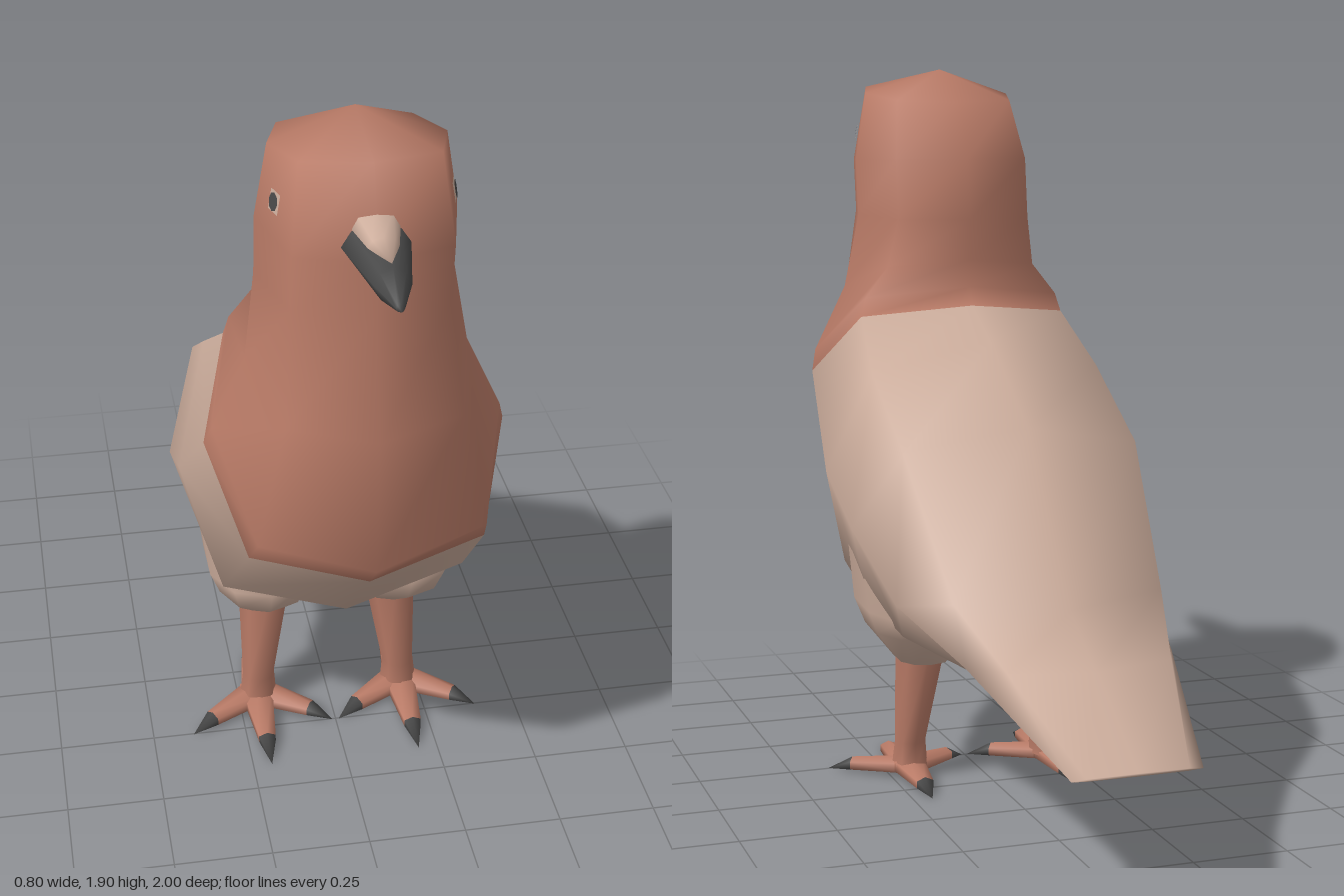
import * as THREE from 'three';

const mat = (name, color) => {
  const m = new THREE.MeshStandardMaterial({ color });
  m.name = name;
  return m;
};

// Oval ring across the chord A-B in the side plane: [az, ay, bz, by, halfWidth, bow, xOffset]
function ringPoints([az, ay, bz, by, w, bow = 0, xo = 0], n, power) {
  const cz = (az + bz) / 2, cy = (ay + by) / 2;
  const len = Math.hypot(bz - az, by - ay) || 1;
  const nz = (by - ay) / len, ny = (az - bz) / len;
  const soft = v => Math.sign(v) * Math.pow(Math.abs(v), 2 / power);
  const pts = [];
  for (let j = 0; j < n; j++) {
    const a = (j / n) * Math.PI * 2;
    const c = soft(Math.cos(a)), s = soft(Math.sin(a));
    const b = bow * Math.sin(a) ** 2;
    pts.push(xo + w * s, cy + (ay - cy) * c + b * ny, cz + (az - cz) * c + b * nz);
  }
  return pts;
}

// Smooth skin over rings; bands before "split" take the first material, later ones the second
function loft(rings, { n = 8, power = 2, split = rings.length, start, end } = {}) {
  const pos = rings.flatMap(r => ringPoints(r, n, power));
  const idx = [];
  const count = rings.length;
  if (start) {
    const p = pos.length / 3;
    pos.push(...start);
    for (let j = 0; j < n; j++) idx.push(p, j, (j + 1) % n);
  }
  let cut = -1;
  for (let i = 0; i < count - 1; i++) {
    if (i === split) cut = idx.length;
    for (let j = 0; j < n; j++) {
      const k = (j + 1) % n, u = i * n, l = u + n;
      idx.push(l + j, l + k, u + k, l + j, u + k, u + j);
    }
  }
  if (split === count - 1) cut = idx.length;
  if (end) {
    const p = pos.length / 3, l = (count - 1) * n;
    pos.push(...end);
    for (let j = 0; j < n; j++) idx.push(p, l + (j + 1) % n, l + j);
  }
  const g = new THREE.BufferGeometry();
  g.setAttribute('position', new THREE.Float32BufferAttribute(pos, 3));
  g.setIndex(idx);
  g.computeVertexNormals();
  if (cut >= 0) {
    g.addGroup(0, cut, 0);
    g.addGroup(cut, idx.length - cut, 1);
  }
  return g;
}

export function createModel() {
  const model = new THREE.Group();
  model.name = 'bird';
  const russet = mat('russet', 0xb87a66);
  const beige = mat('beige', 0xccad9c);
  const dark = mat('charcoal', 0x484848);
  const add = (parent, name, geo, material) => {
    const m = new THREE.Mesh(geo, material);
    m.name = name;
    parent.add(m);
    return m;
  };

  // Head, neck, breast, body and tail in one skin
  add(model, 'body', loft([
    [0.69, 1.86, 0.29, 1.81, 0.205],
    [0.755, 1.65, 0.21, 1.66, 0.235],
    [0.735, 1.51, 0.19, 1.5, 0.235],
    [0.8, 1.22, 0.21, 1.39, 0.265],
    [0.785, 0.86, 0.19, 1.32, 0.348, 0.05],
    [0.7, 0.775, 0.18, 1.27, 0.365, 0.07],
    [0.4, 0.48, 0.02, 1.19, 0.4],
    [0.15, 0.43, -0.27, 1.0, 0.4, 0.02],
    [-0.02, 0.37, -0.57, 0.6, 0.345, 0.09],
    [-0.42, 0.41, -0.74, 0.49, 0.265, 0.03],
    [-0.99, 0.315, -1, 0.325, 0.16],
  ], { power: 2.8, split: 5, start: [0, 1.9, 0.46], end: [0, 0.32, -1] }), [russet, beige]);

  // Beak with the pale patch above it
  add(model, 'beak', loft([
    [0.7, 1.73, 0.7, 1.63, 0.082],
    [0.9, 1.715, 0.92, 1.637, 0.04],
    [0.985, 1.672, 0.985, 1.652, 0.01],
  ], { end: [0, 1.66, 1] }), dark);
  add(model, 'beakPatch', loft([
    [0.69, 1.76, 0.69, 1.68, 0.06],
    [0.8, 1.735, 0.8, 1.69, 0.035],
  ], { end: [0, 1.718, 0.89] }), beige);

  for (const [side, label] of [[1, 'left'], [-1, 'right']]) {
    // Eye: dark pupil with pale corners
    const eye = new THREE.Group();
    eye.name = label + 'Eye';
    eye.position.set(side * 0.2, 1.735, 0.585);
    eye.lookAt(side * 1.16, 1.915, 0.845);
    add(eye, 'eyeCorners', new THREE.CircleGeometry(0.034, 4, Math.PI / 4), beige).position.z = 0.003;
    add(eye, 'pupil', new THREE.CircleGeometry(0.022, 8), dark).position.z = 0.006;
    model.add(eye);

    // Thigh blending out of the belly, and leg
    add(model, label + 'Thigh', loft([
      [0.3, 0.78, -0.08, 0.74, 0.17, 0, side * 0.2],
      [0.345, 0.5, -0.09, 0.47, 0.15, 0, side * 0.185],
      [0.305, 0.425, -0.05, 0.415, 0.125, 0, side * 0.183],
      [0.185, 0.335, 0.01, 0.335, 0.07, 0, side * 0.17],
    ], { n: 10, power: 2.2, end: [side * 0.17, 0.335, 0.1] }), beige);
    add(model, label + 'Leg', loft([
      [0.188, 0.37, 0.02, 0.37, 0.07, 0, side * 0.172],
      [0.18, 0.1, 0.08, 0.1, 0.043, 0, side * 0.195],
      [0.19, 0.03, 0.07, 0.03, 0.05, 0, side * 0.197],
    ]), russet);

    // Foot: three toes forward, one back, each with a dark claw
    const foot = new THREE.Group();
    foot.name = label + 'Foot';
    foot.position.set(side * 0.2, 0, 0.13);
    for (const [angle, length] of [[0, 0.28], [1, 0.228], [-1, 0.228], [Math.PI, 0.22]]) {
      const toe = add(foot, 'toe', loft([
        [-0.02, 0.058, -0.02, 0.004, 0.052],
        [length * 0.7, 0.04, length * 0.7, 0.002, 0.026],
      ], { n: 6, split: 1, start: [0, 0.03, -0.03], end: [0, 0.002, length] }), [russet, dark]);
      toe.rotation.y = angle;
    }
    model.add(foot);
  }
  return model;
}
